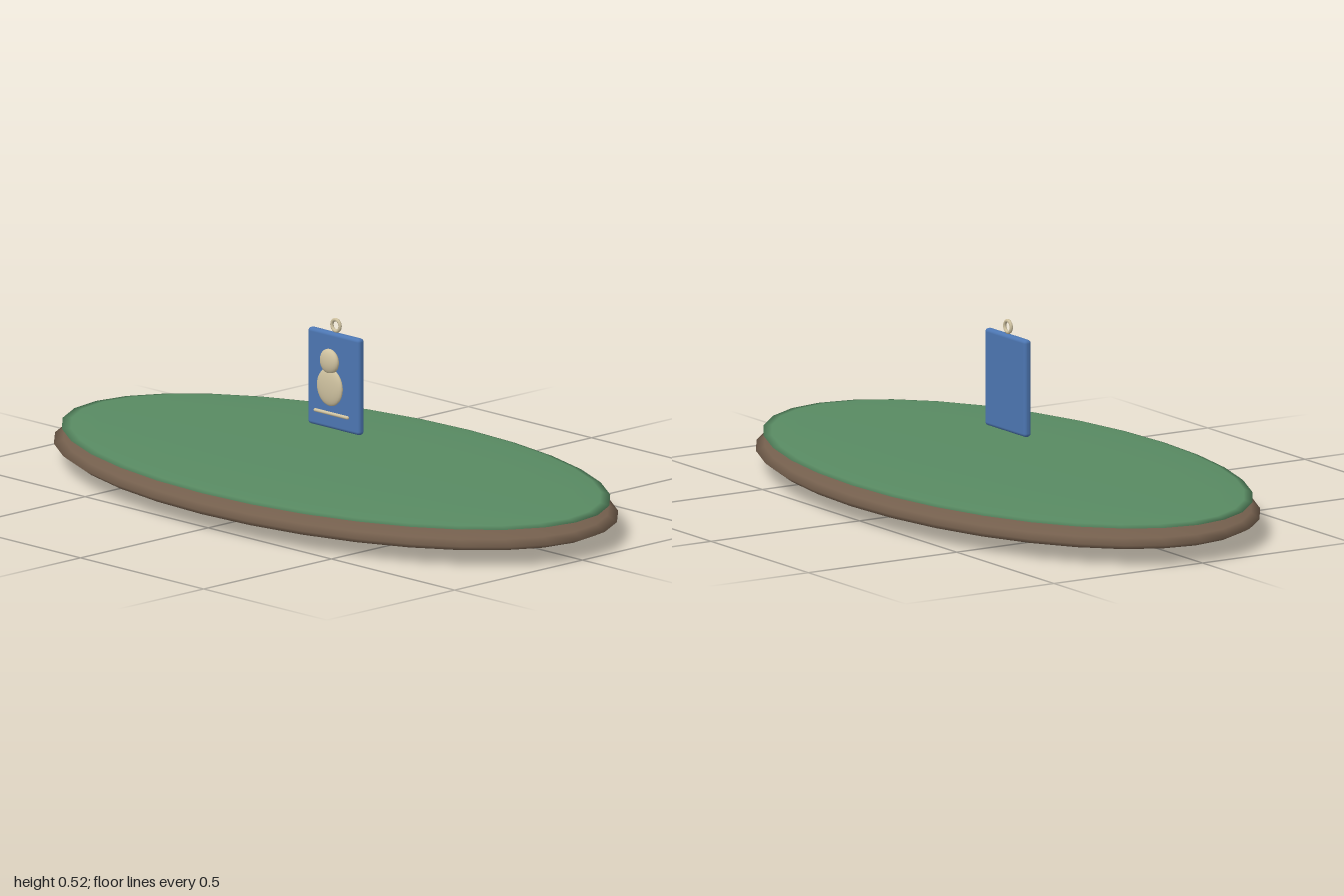
import * as THREE from 'three';
import { RoundedBoxGeometry } from 'three/addons/geometries/RoundedBoxGeometry.js';

function material(name, color) {
  const m = new THREE.MeshStandardMaterial({ color });
  m.name = name;
  return m;
}

export function createModel() {
  const group = new THREE.Group();
  const brown = material('earth brown', 0x745f4d);
  const green = material('grass green', 0x588a62);
  const blue = material('card blue', 0x4c76b2);
  const cream = material('cream', 0xcfc2a0);

  function add(name, geometry, mat, x, y, z) {
    const mesh = new THREE.Mesh(geometry, mat);
    mesh.name = name;
    mesh.position.set(x, y, z);
    group.add(mesh);
    return mesh;
  }

  // Squashed sphere with the given half sizes
  function ellipsoid(name, mat, y, z, [rx, ry, rz], segments, rings) {
    add(name, new THREE.SphereGeometry(1, segments, rings), mat, 0, y, z).scale.set(rx, ry, rz);
  }

  // Oval ground: earth with a thin grass layer on top
  ellipsoid('earthBase', brown, 0.06, 0, [1, 0.06, 0.545], 32, 12);
  ellipsoid('grassTop', green, 0.105, 0, [0.975, 0.018, 0.525], 32, 12);

  // Floating tag with its hanging ring
  add('tagPlate', new RoundedBoxGeometry(0.21, 0.28, 0.024, 3, 0.01), blue, 0, 0.34, 0);
  add('hangingRing', new THREE.TorusGeometry(0.0165, 0.005, 10, 28), cream, 0, 0.501, 0);

  // Raised figure on the front of the tag
  ellipsoid('figureHead', cream, 0.401, 0.026, [0.036, 0.036, 0.015], 24, 16);
  ellipsoid('figureBody', cream, 0.326, 0.024, [0.051, 0.055, 0.013], 24, 16);

  // Rounded bar under the figure
  const bar = add('figureBar', new THREE.CapsuleGeometry(0.005, 0.13, 4, 12), cream, 0, 0.247, 0.018);
  bar.rotation.z = Math.PI / 2;

  return group;
}
